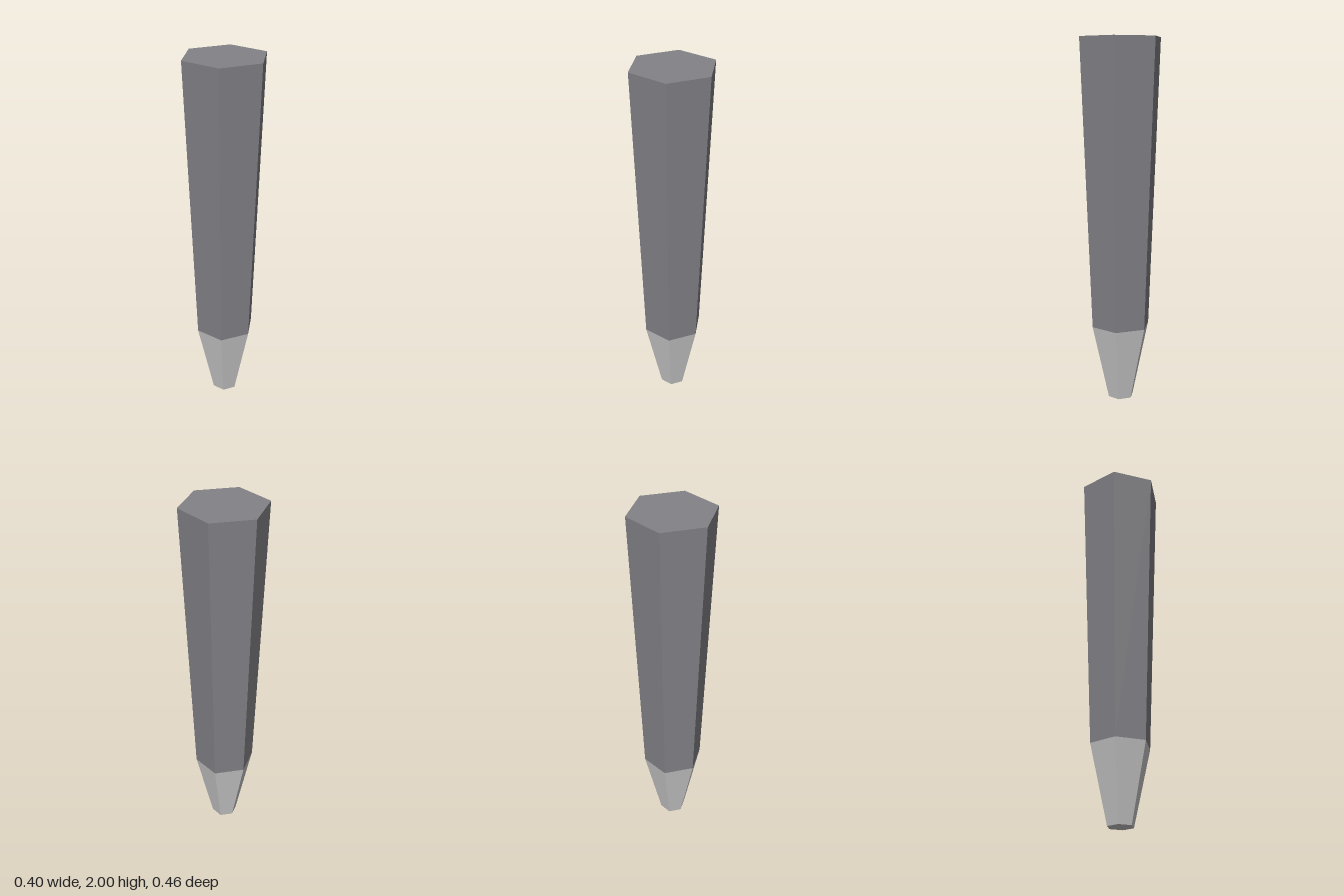
import * as THREE from 'three';

const SIDES = 6;
const JOINT_Y = 0.42;
const JOINT_RADIUS = 0.167;

// Tapered hexagonal prism with corners on +z and -z
function taperedHex(name, topRadius, bottomRadius, y0, y1, color, openEnded = true) {
  const geometry = new THREE.CylinderGeometry(topRadius, bottomRadius, y1 - y0, SIDES, 1, openEnded);
  geometry.translate(0, (y0 + y1) / 2, 0);
  const mesh = new THREE.Mesh(geometry, new THREE.MeshStandardMaterial({ color, flatShading: true }));
  mesh.name = name;
  return mesh;
}

// Flat hexagonal end face, facing up or down
function endCap(name, radius, y, up, color) {
  const geometry = new THREE.CircleGeometry(radius, SIDES, Math.PI / 2);
  geometry.rotateX(up ? -Math.PI / 2 : Math.PI / 2);
  geometry.translate(0, y, 0);
  const mesh = new THREE.Mesh(geometry, new THREE.MeshStandardMaterial({ color, flatShading: true }));
  mesh.name = name;
  return mesh;
}

export function createModel() {
  const model = new THREE.Group();
  model.name = 'hexagonalSpike';
  const dark = 0x828287;
  const light = 0xcccccc;

  // Long dark shaft, widening towards the top
  model.add(taperedHex('shaft', 0.231, JOINT_RADIUS, JOINT_Y, 2, dark));
  model.add(endCap('shaftTop', 0.231, 2, true, dark));

  // Pale blunt tip at the foot
  model.add(taperedHex('tip', JOINT_RADIUS, 0.072, 0, JOINT_Y, light));
  model.add(endCap('tipEnd', 0.072, 0, false, light));
  return model;
}
